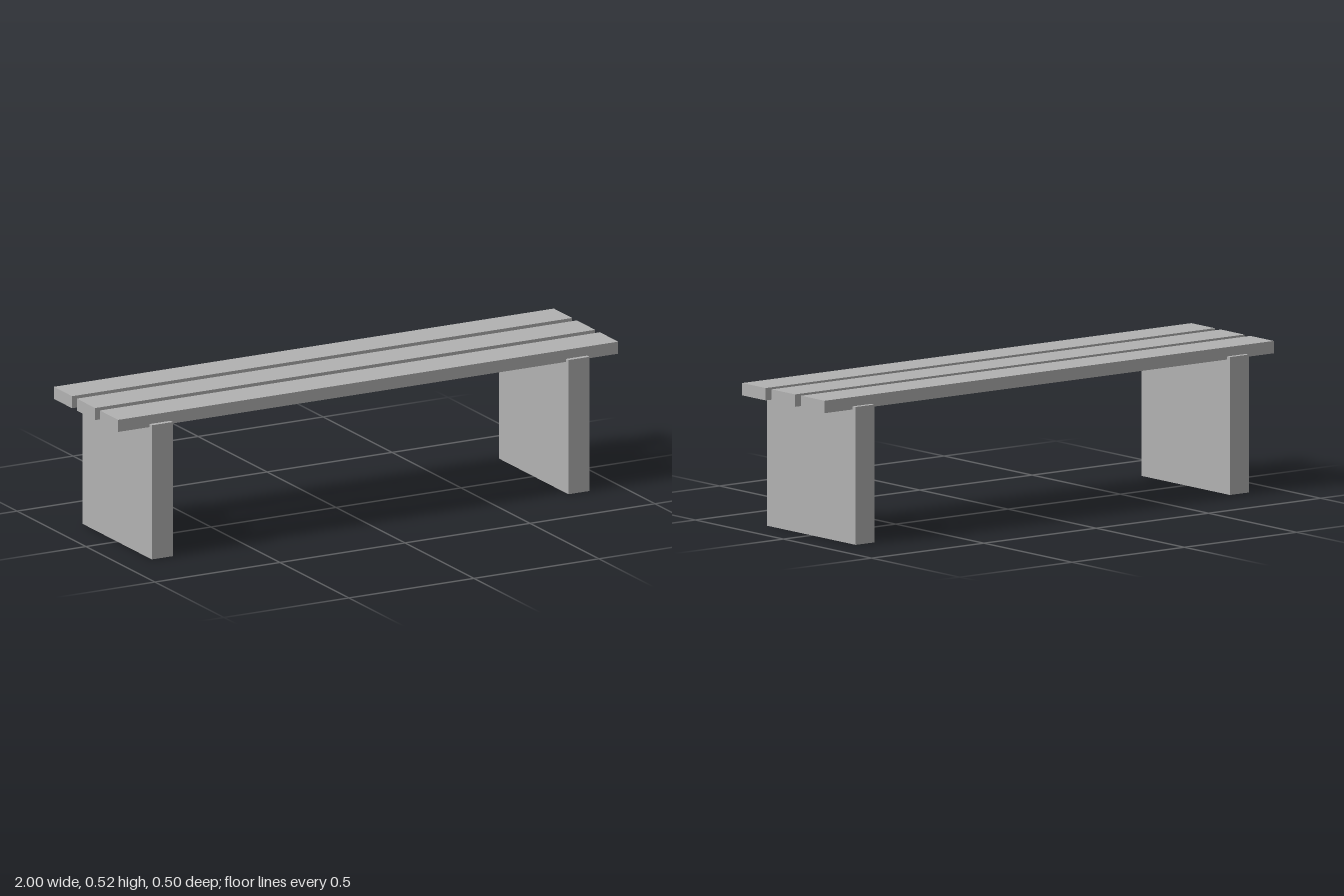
import * as THREE from 'three';

export function createModel() {
  const bench = new THREE.Group();
  bench.name = 'bench';
  const grey = new THREE.MeshStandardMaterial({ color: 0xb2b2b2 });
  grey.name = 'plain grey';

  // Box placed by its centre in x and z and by its underside in y
  function addBox(name, width, height, depth, x, bottom, z) {
    const mesh = new THREE.Mesh(new THREE.BoxGeometry(width, height, depth), grey);
    mesh.name = name;
    mesh.position.set(x, bottom + height / 2, z);
    bench.add(mesh);
  }

  // Slab supports, let slightly into the slats
  for (const [side, name] of [[1, 'leftSupport'], [-1, 'rightSupport']]) {
    addBox(name, 0.084, 0.49, 0.502, side * 0.833, 0, 0);
  }

  // Three long seat slats
  ['backSlat', 'middleSlat', 'frontSlat'].forEach((name, i) => {
    addBox(name, 2, 0.044, 0.133, 0, 0.479, (i - 1) * 0.167);
  });

  return bench;
}
